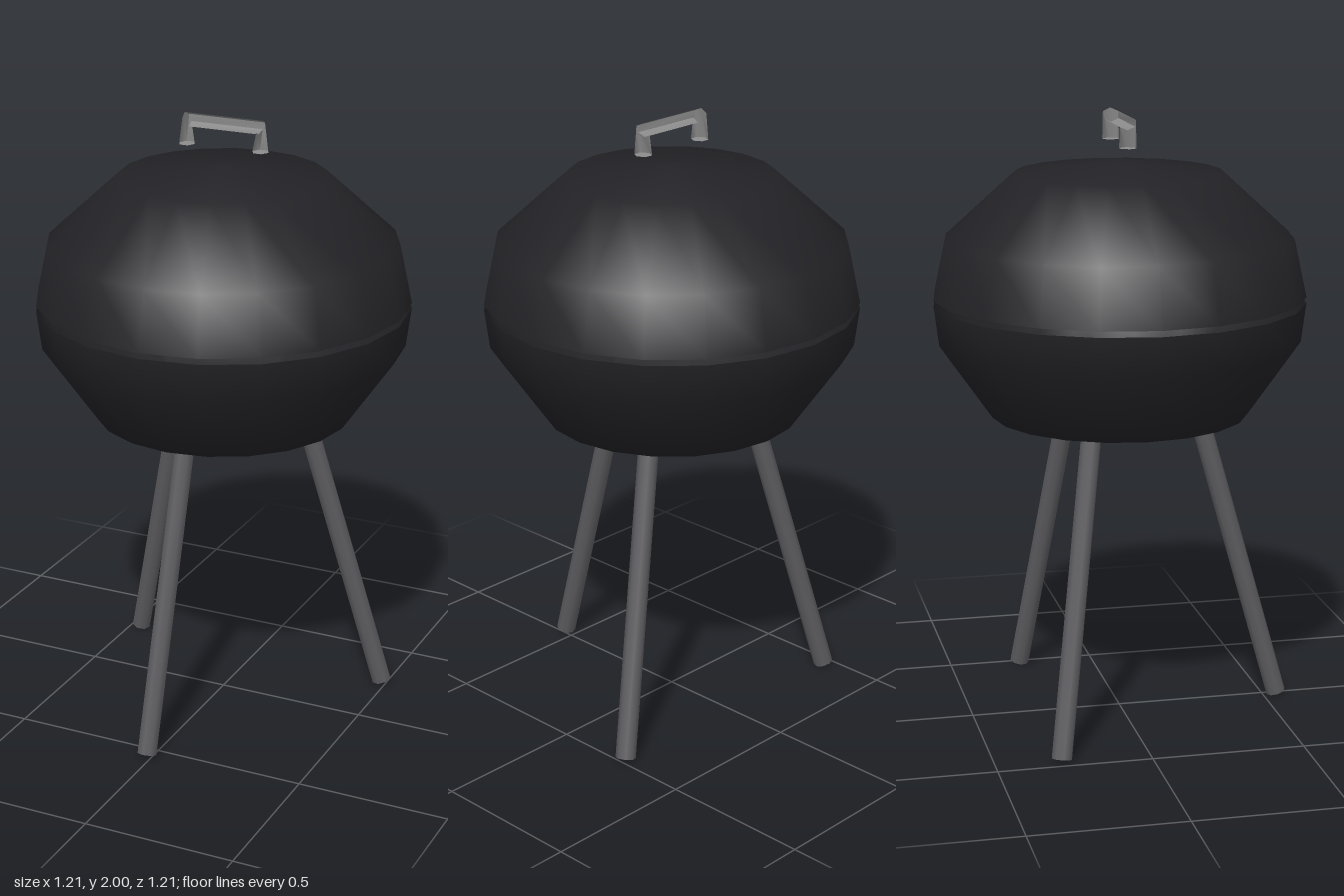
import * as THREE from 'three';
import { toCreasedNormals } from 'three/addons/utils/BufferGeometryUtils.js';

const SHELL = new THREE.MeshStandardMaterial({ color: 0x222226, side: THREE.DoubleSide });
const LEG = new THREE.MeshStandardMaterial({ color: 0x5c5c60 });
const HANDLE = new THREE.MeshStandardMaterial({ color: 0x8c8c8c });

function addMesh(parent, name, geometry, material) {
  const mesh = new THREE.Mesh(geometry, material);
  mesh.name = name;
  parent.add(mesh);
  return mesh;
}

// Twenty-sided shell turned around y; profile runs from bottom to top
function shell(profile) {
  return new THREE.LatheGeometry(profile.map(([r, y]) => new THREE.Vector2(r, y)), 20);
}

// Round bar between two points
function addBar(parent, name, from, to, radius) {
  const dir = to.clone().sub(from);
  const bar = addMesh(parent, name, new THREE.CylinderGeometry(radius, radius, dir.length(), 8), LEG);
  bar.position.copy(from).add(to).multiplyScalar(0.5);
  bar.quaternion.setFromUnitVectors(new THREE.Vector3(0, 1, 0), dir.normalize());
}

// Hexagonal bar lofted through four rings: foot, corner, corner, foot
function handleGeometry() {
  const sides = 6, halfDepth = 0.029;
  // centre x, centre y, and the vector toward the inside of the bend
  const rings = [
    [-0.1275, 1.9, 0.0275, 0],
    [-0.1275, 1.9775, 0.0075, -0.0225],
    [0.1275, 1.9775, -0.0075, -0.0225],
    [0.1275, 1.9, -0.0275, 0],
  ];
  const positions = [], index = [];
  for (const [cx, cy, ux, uy] of rings) {
    for (let i = 0; i < sides; i++) {
      const a = (i / sides) * Math.PI * 2, c = Math.cos(a);
      positions.push(cx + ux * c, cy + uy * c, halfDepth * Math.sin(a));
    }
  }
  for (let r = 0; r < rings.length - 1; r++) {
    for (let i = 0; i < sides; i++) {
      const a = r * sides + i, b = r * sides + ((i + 1) % sides);
      index.push(a, b, a + sides, b, b + sides, a + sides);
    }
  }
  // end caps
  const last = (rings.length - 1) * sides;
  for (let i = 1; i < sides - 1; i++) {
    index.push(0, i + 1, i, last, last + i, last + i + 1);
  }
  const geometry = new THREE.BufferGeometry();
  geometry.setAttribute('position', new THREE.Float32BufferAttribute(positions, 3));
  geometry.setIndex(index);
  return toCreasedNormals(geometry, Math.PI / 2.8);
}

export function createModel() {
  const model = new THREE.Group();
  model.name = 'kettleGrill';

  // Bowl and lid, with a narrow gap between them
  addMesh(model, 'bowl', shell([[0, 0.98], [0.42, 1.02], [0.59, 1.265], [0.606, 1.392]]), SHELL);
  addMesh(model, 'lid', shell([[0.606, 1.411], [0.565, 1.6], [0.335, 1.81], [0, 1.85]]), SHELL);

  // Three splayed legs, the tripod turned slightly
  const legs = new THREE.Group();
  legs.name = 'legs';
  model.add(legs);
  for (let i = 0; i < 3; i++) {
    const a = -0.033 + (i * Math.PI * 2) / 3;
    const at = (r, y) => new THREE.Vector3(Math.sin(a) * r, y, Math.cos(a) * r);
    addBar(legs, ['frontLeg', 'backLeftLeg', 'backRightLeg'][i], at(0.545, 0.009), at(0.252, 1.05), 0.033);
  }

  // Lid handle
  addMesh(model, 'lidHandle', handleGeometry(), HANDLE);
  return model;
}
